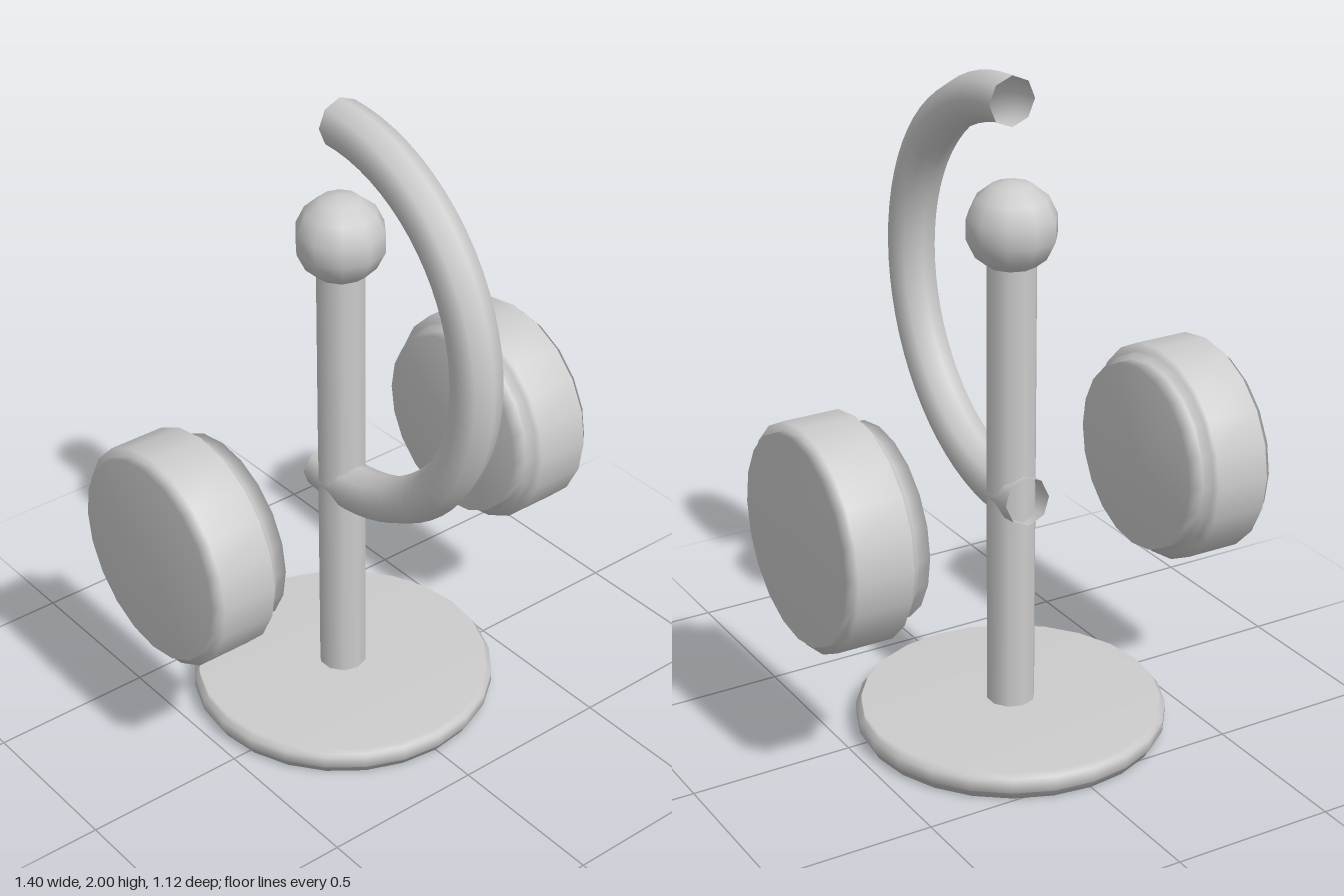
import * as THREE from 'three';

const AXIS_Z = -0.1; // post, base and ear cups share this depth

export function createModel() {
  const group = new THREE.Group();
  group.name = 'headphoneStand';
  const grey = new THREE.MeshStandardMaterial({ color: 0xcccccc, side: THREE.DoubleSide });
  grey.name = 'light grey';

  const add = (name, geometry, x, y) => {
    const mesh = new THREE.Mesh(geometry, grey);
    mesh.name = name;
    mesh.position.set(x, y, AXIS_Z);
    group.add(mesh);
    return mesh;
  };
  // closed turned solid from [radius, height] pairs, bottom to top
  const turned = (profile, sides) =>
    new THREE.LatheGeometry(profile.map(([r, h]) => new THREE.Vector2(r, h)), sides);

  // stepped round base
  add('base', turned([
    [0, 0], [0.45, 0], [0.45, 0.026], [0.466, 0.026],
    [0.466, 0.062], [0.45, 0.062], [0.45, 0.084], [0, 0.084],
  ], 24), 0, 0);

  // upright post with a ball on top
  add('post', new THREE.CylinderGeometry(0.073, 0.073, 1.44, 10), 0, 0.76);
  const ball = add('ball', new THREE.SphereGeometry(0.135, 10, 7), 0, 1.57);
  ball.rotation.y = Math.PI / 2;

  // open curved headband, its lower end passing through the post
  const band = new THREE.TorusGeometry(0.586, 0.073, 8, 36, Math.PI * 1.05);
  band.rotateZ(Math.PI / 2).rotateY(Math.PI / 2);
  add('headband', band, 0, 1.342);

  // mirrored ear cups: inner cushion, collar, shell and outer cap
  const cup = turned([
    [0, 0.43], [0.287, 0.43], [0.287, 0.478], [0.306, 0.478], [0.306, 0.503],
    [0.333, 0.503], [0.333, 0.674], [0.307, 0.674], [0.307, 0.7], [0, 0.7],
  ], 20);
  for (const side of [1, -1]) {
    const mesh = add(side > 0 ? 'leftEarCup' : 'rightEarCup', cup, 0, 0.773);
    mesh.rotation.z = -side * Math.PI / 2;
  }
  return group;
}
